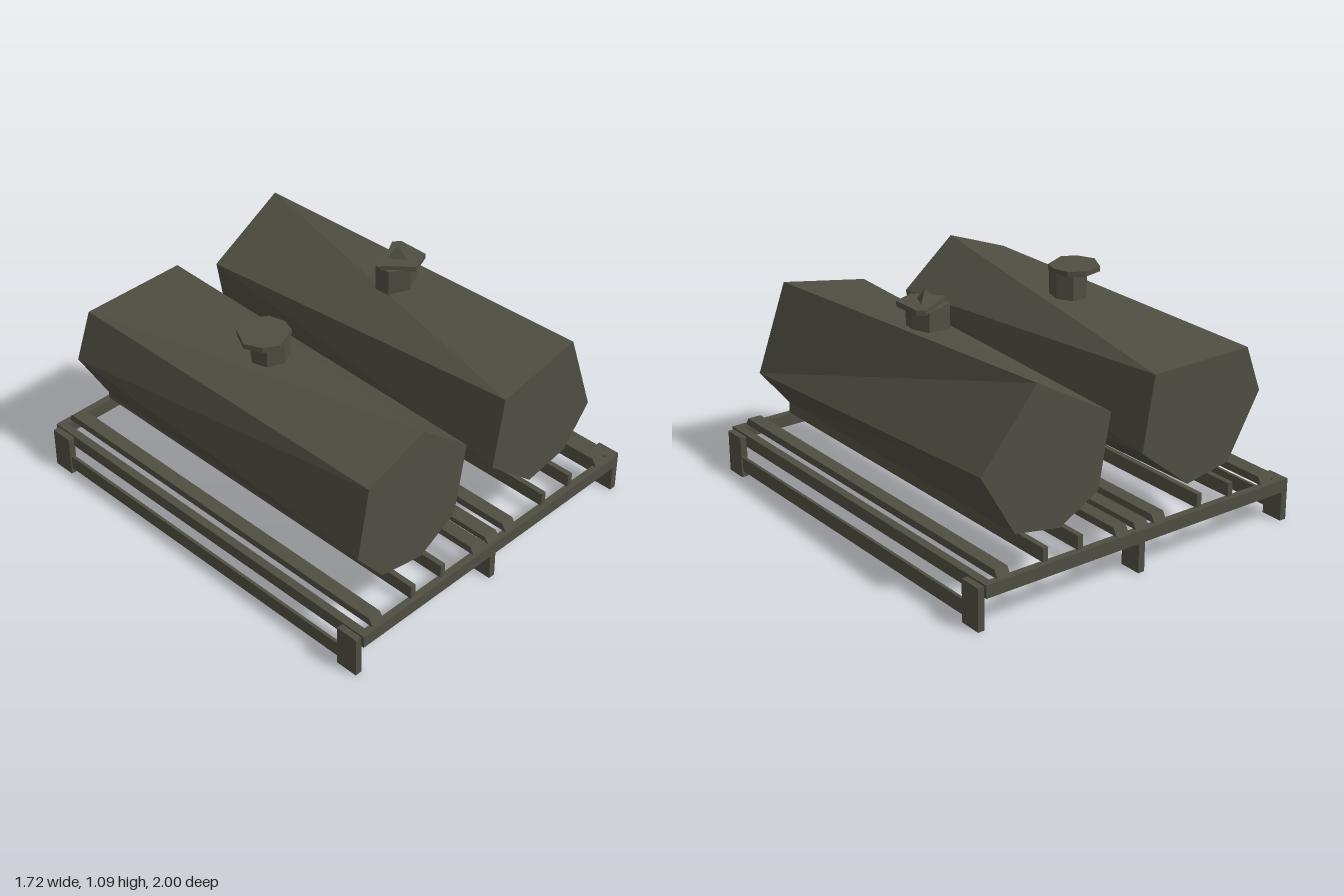
import * as THREE from 'three';

const olive = new THREE.MeshStandardMaterial({ color: 0x4f4e42 });
olive.name = 'drabOlive';

// Flat-faced mesh
function add(parent, name, geometry, x = 0, y = 0, z = 0) {
  const flat = geometry.index ? geometry.toNonIndexed() : geometry;
  flat.computeVertexNormals();
  const mesh = new THREE.Mesh(flat, olive);
  mesh.name = name;
  mesh.position.set(x, y, z);
  parent.add(mesh);
  return mesh;
}

// Box given by its extents on each axis
function box(parent, name, [x0, x1], [y0, y1], [z0, z1]) {
  return add(parent, name, new THREE.BoxGeometry(x1 - x0, y1 - y0, z1 - z0),
    (x0 + x1) / 2, (y0 + y1) / 2, (z0 + z1) / 2);
}

// Lengthwise bar whose ends slope in towards the top
function slopedBar(parent, name, x, width, top) {
  const g = new THREE.BoxGeometry(width, top - 0.21, 1.97);
  const p = g.attributes.position;
  for (let i = 0; i < p.count; i++) if (p.getY(i) > 0) p.setZ(i, p.getZ(i) * 0.978);
  add(parent, name, g, x, (top + 0.21) / 2, 0);
}

// Faceted tank: two end outlines (clockwise from the front) joined by a strip;
// each step letter says which outline moves on to its next corner.
function tank(front, back, steps, half = 0.875) {
  const v = [];
  const F = i => [...front[i % front.length], half];
  const B = i => [...back[i % back.length], -half];
  let f = 0, b = 0;
  for (const s of steps) {
    if (s === 'f') v.push(F(f), F(++f), B(b));
    else v.push(F(f), B(b + 1), B(b++));
  }
  for (let i = 1; i < front.length - 1; i++) v.push(F(0), F(i + 1), F(i));
  for (let i = 1; i < back.length - 1; i++) v.push(B(0), B(i), B(i + 1));
  const g = new THREE.BufferGeometry();
  g.setAttribute('position', new THREE.Float32BufferAttribute(v.flat(), 3));
  return g;
}

// Flat plate from an outline of [x, z] corners
function plate(outline, thickness) {
  const shape = new THREE.Shape(outline.map(([x, z]) => new THREE.Vector2(x, -z)));
  const g = new THREE.ExtrudeGeometry(shape, { depth: thickness, bevelEnabled: false });
  return g.rotateX(-Math.PI / 2);
}

export function createModel() {
  const model = new THREE.Group();
  model.name = 'twinTankPallet';

  // Pallet frame
  const frame = new THREE.Group();
  frame.name = 'frame';
  model.add(frame);
  for (const s of [-1, 1]) {
    box(frame, 'endBeam', [-0.83, 0.83], [0.15, 0.21], s > 0 ? [0.965, 1] : [-1, -0.965]);
    add(frame, 'sideBeam', new THREE.BoxGeometry(0.04, 0.06, 1.93), s * 0.81, 0.18, 0);
    add(frame, 'lowerRail', new THREE.BoxGeometry(0.015, 0.07, 1.75), s * 0.846, 0.065, 0);
    for (const e of [-1, 1]) {
      add(frame, 'cornerPost', new THREE.BoxGeometry(0.033, 0.2, 0.11), s * 0.844, 0.1, e * 0.93);
    }
    add(frame, 'centreLeg', new THREE.BoxGeometry(0.033, 0.15, 0.11), -0.005, 0.075, s * 0.93);
    // Bars and upright runners under each tank
    for (const x of [0.105, 0.73]) slopedBar(frame, 'cradleBar', s * x, 0.066, 0.245);
    for (const x of [0.33, 0.513]) {
      add(frame, 'runner', new THREE.BoxGeometry(0.026, 0.065, 1.96), s * x, 0.2425, 0);
    }
  }
  slopedBar(frame, 'centreBar', -0.005, 0.07, 0.237);

  // Tanks
  add(model, 'rightTank', tank(
    [[-0.36, 0.955], [-0.09, 0.73], [-0.15, 0.39], [-0.355, 0.275], [-0.59, 0.317], [-0.74, 0.5], [-0.68, 0.837]],
    [[-0.15, 0.837], [-0.09, 0.49], [-0.355, 0.275], [-0.59, 0.317], [-0.763, 0.616], [-0.68, 0.837]],
    'fbfbffbfbfbfb'));
  add(model, 'leftTank', tank(
    [[0.59, 0.915], [0.74, 0.5], [0.59, 0.317], [0.355, 0.275], [0.09, 0.5], [0.15, 0.837]],
    [[0.48, 0.955], [0.763, 0.616], [0.59, 0.317], [0.355, 0.275], [0.15, 0.39], [0.09, 0.73]],
    'fbfbfbbfbfbf'));

  // Filler necks
  add(model, 'rightNeck', new THREE.CylinderGeometry(0.09, 0.09, 0.17, 7), -0.39, 0.925, 0);
  add(model, 'leftNeck', plate(
    [[0.305, -0.04], [0.45, -0.09], [0.49, -0.02], [0.47, 0.06], [0.39, 0.095], [0.305, 0.04]], 0.17),
  0, 0.845, 0);

  // Filler lids, the left one with a pointed knob
  add(model, 'rightLid', plate(
    [[-0.54, 0], [-0.49, -0.1], [-0.39, -0.12], [-0.32, -0.075], [-0.3, 0], [-0.32, 0.065], [-0.44, 0.118], [-0.505, 0.075]], 0.025),
  0, 1.01, 0);
  add(model, 'leftLid', plate(
    [[0.295, 0], [0.475, -0.1], [0.508, -0.075], [0.508, 0.075], [0.4, 0.118]], 0.025),
  0, 1.01, 0);
  add(model, 'leftKnob', new THREE.ConeGeometry(0.058, 0.06, 3, 1, false, 0.1), 0.408, 1.06, 0);

  return model;
}
